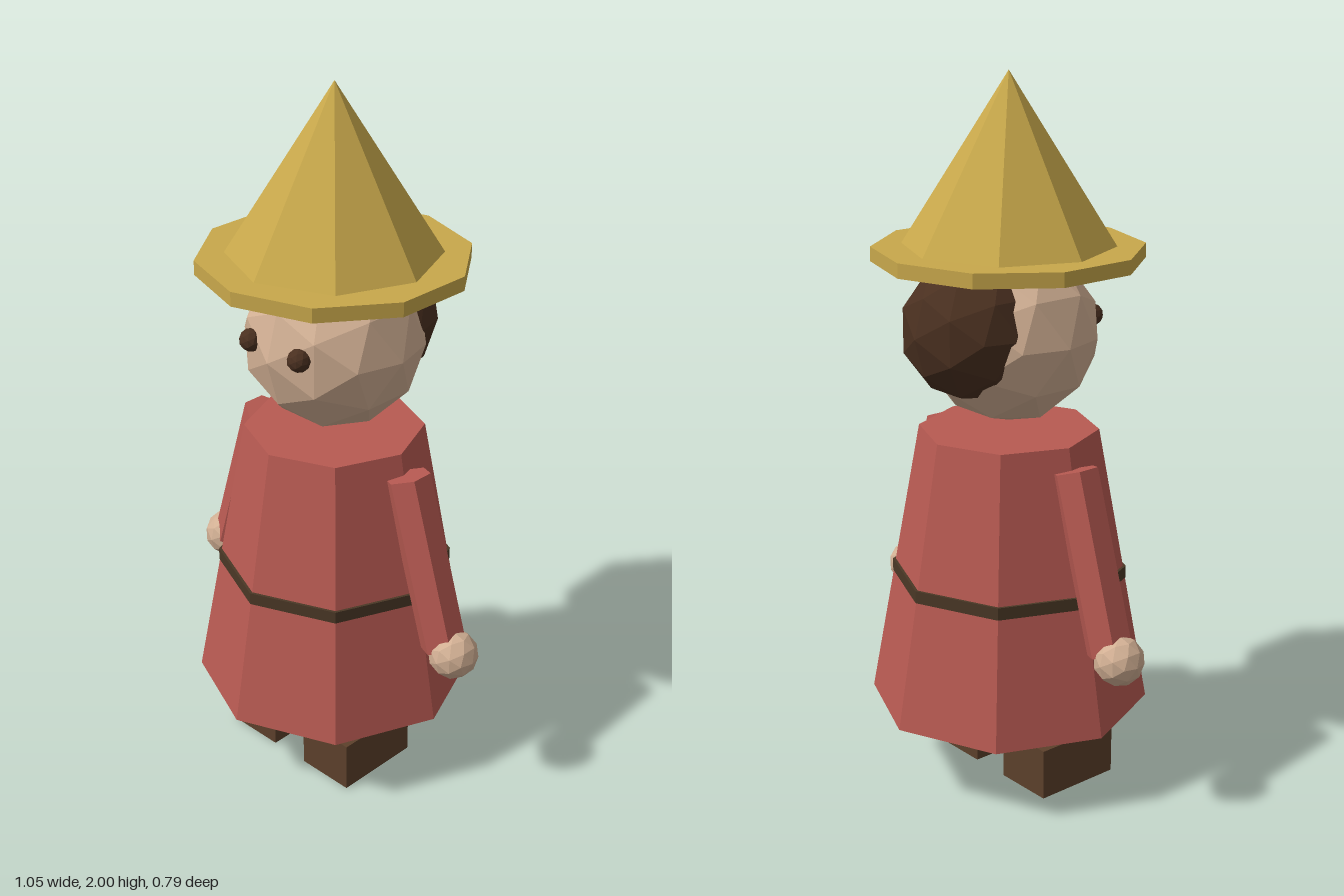
import * as THREE from 'three';

function mat(name, color) {
  const m = new THREE.MeshStandardMaterial({ color });
  m.name = name;
  m.flatShading = true;
  return m;
}

export function createModel() {
  const root = new THREE.Group();
  root.name = 'figure';

  const coat = mat('red cloth', 0xb85a52);
  const straw = mat('straw', 0xc8a84b);
  const skin = mat('skin', 0xd2b094);
  const hair = mat('dark brown', 0x4a3020);
  const leather = mat('boot leather', 0x5c402b);
  const strap = mat('belt leather', 0x4a3826);

  const add = (name, geometry, material, x, y, z) => {
    const mesh = new THREE.Mesh(geometry, material);
    mesh.name = name;
    mesh.position.set(x, y, z);
    root.add(mesh);
    return mesh;
  };
  const ball = (r) => new THREE.IcosahedronGeometry(r, 1);

  // Robe and belt
  add('robe', new THREE.CylinderGeometry(0.25, 0.395, 0.8, 8), coat, 0, 0.63, 0);
  add('belt', new THREE.CylinderGeometry(0.331, 0.331, 0.035, 8), strap, 0, 0.61, 0);

  // Head and hair
  add('head', ball(0.25), skin, 0, 1.3, 0);
  add('hair', ball(0.2), hair, 0, 1.33, -0.12);

  // Pointed hat with a wide brim
  add('hatBrim', new THREE.CylinderGeometry(0.37, 0.37, 0.04, 10), straw, 0, 1.52, 0);
  add('hatCone', new THREE.ConeGeometry(0.29, 0.46, 8), straw, 0, 1.77, 0);

  // Paired parts: left is +x
  for (const [side, s] of [['left', 1], ['right', -1]]) {
    add(side + 'Eye', ball(0.032), hair, s * 0.09, 1.33, 0.222);
    const arm = add(side + 'Arm', new THREE.CylinderGeometry(0.065, 0.065, 0.5, 6), coat, s * 0.348, 0.735, 0);
    arm.rotation.z = s * 0.3;
    add(side + 'Hand', ball(0.07), skin, s * 0.457, 0.487, 0);
    add(side + 'Boot', new THREE.BoxGeometry(0.175, 0.147, 0.26), leather, s * 0.148, 0.0735, 0.06);
  }

  return root;
}
